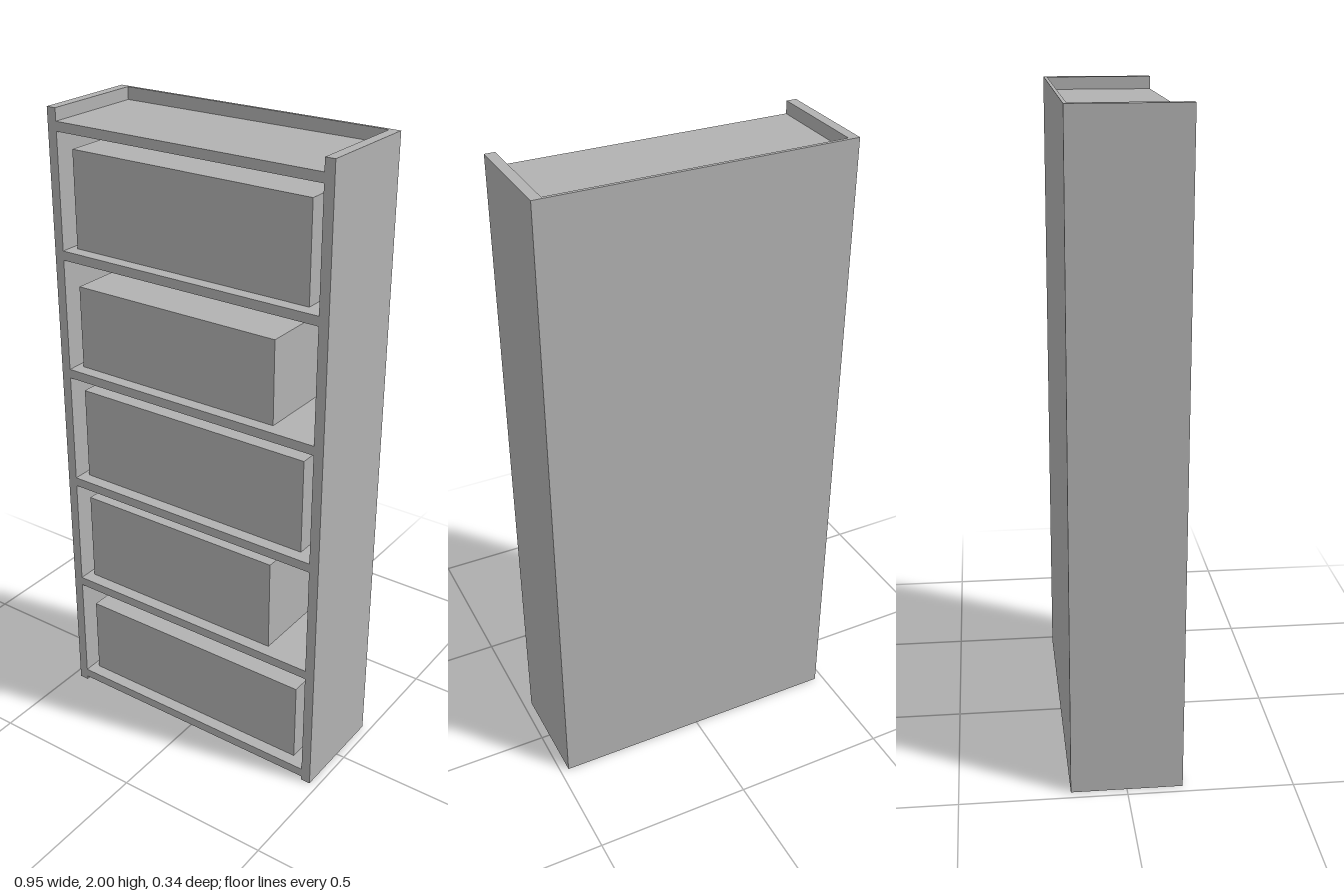
import * as THREE from 'three';

export function createModel() {
  const group = new THREE.Group();
  group.name = 'bookcase';
  const grey = new THREE.MeshStandardMaterial({ color: 0xb2b2b2 });
  grey.name = 'grey';

  // Box given by its minimum and maximum corners
  const addBox = (name, [x0, y0, z0], [x1, y1, z1]) => {
    const mesh = new THREE.Mesh(new THREE.BoxGeometry(x1 - x0, y1 - y0, z1 - z0), grey);
    mesh.name = name;
    mesh.position.set((x0 + x1) / 2, (y0 + y1) / 2, (z0 + z1) / 2);
    group.add(mesh);
  };

  const outer = 0.473, inner = 0.442, depth = 0.168, backFace = -0.158;

  // Side panels and thin back panel
  addBox('leftSide', [inner, 0, -depth], [outer, 2, depth]);
  addBox('rightSide', [-outer, 0, -depth], [-inner, 2, depth]);
  addBox('backPanel', [-inner, 0, -depth], [inner, 2, backFace]);

  // Six evenly spaced shelves
  const shelfTop = (i) => 0.042 + i * 0.384;
  for (let i = 0; i < 6; i++) {
    addBox(`shelf${i + 1}`, [-inner, shelfTop(i) - 0.029, backFace], [inner, shelfTop(i), depth]);
  }

  // One block of contents on each of the lower five shelves: [right end, height]
  const contents = [[0.388, 0.264], [0.282, 0.299], [0.388, 0.302], [0.282, 0.264], [0.388, 0.299]];
  contents.forEach(([end, height], i) => {
    addBox(`contents${i + 1}`, [-0.421, shelfTop(i), -0.13], [end, shelfTop(i) + height, 0.128]);
  });

  return group;
}
